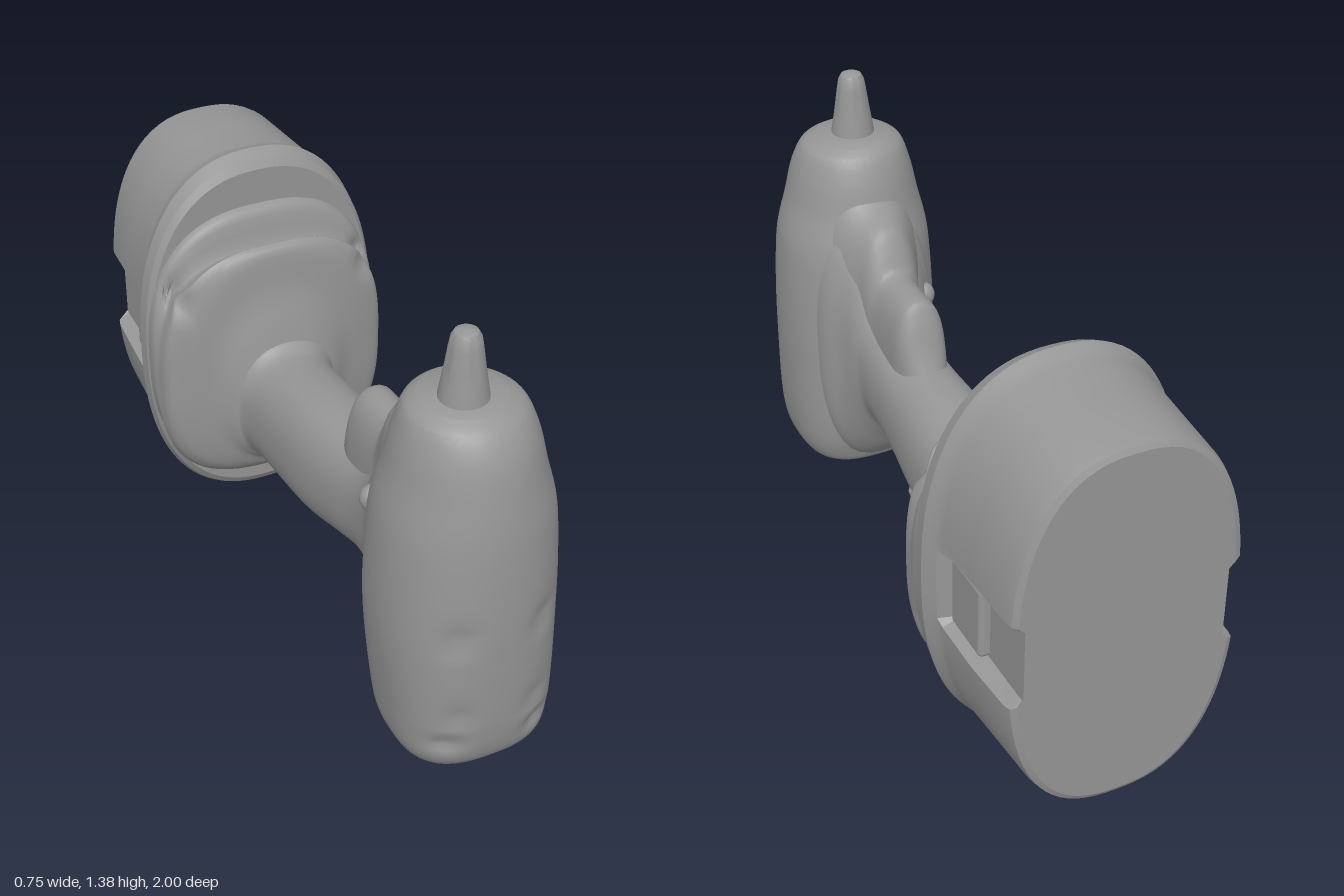
import * as THREE from 'three';
import { toCreasedNormals } from 'three/addons/utils/BufferGeometryUtils.js';
import { RoundedBoxGeometry } from 'three/addons/geometries/RoundedBoxGeometry.js';

const material = new THREE.MeshStandardMaterial({ color: 0x969696 });

function addMesh(group, name, geometry, crease = 0.6) {
  const mesh = new THREE.Mesh(crease ? toCreasedNormals(geometry, crease) : geometry, material);
  mesh.name = name;
  group.add(mesh);
  return mesh;
}

// Smoothly inserts extra sections without overshooting the given ones
function refine(sections, steps) {
  const slope = (a, b, c) => {
    const d0 = b - a, d1 = c - b;
    return d0 * d1 > 0 ? (2 * d0 * d1) / (d0 + d1) : 0;
  };
  const out = [];
  const at = (i) => sections[Math.max(0, Math.min(sections.length - 1, i))];
  for (let i = 0; i < sections.length - 1; i++) {
    for (let s = 0; s < steps; s++) {
      const t = s / steps;
      out.push(at(i).map((p, k) => {
        const q = at(i + 1)[k];
        const m0 = i === 0 ? q - p : slope(at(i - 1)[k], p, q);
        const m1 = i === sections.length - 2 ? q - p : slope(p, q, at(i + 2)[k]);
        const t2 = t * t, t3 = t2 * t;
        return (2 * t3 - 3 * t2 + 1) * p + (t3 - 2 * t2 + t) * m0 + (3 * t2 - 2 * t3) * q + (t3 - t2) * m1;
      }));
    }
  }
  out.push(at(sections.length));
  return out;
}

// Closed loft of rounded sections [t, xMin, xMax, vMin, vMax, squareness];
// the sections are stacked along axis y (v = z) or axis z (v = y)
function loft(sections, axis, rule = (p) => p, segments = 72) {
  const positions = [], indices = [];
  const place = (x, v, t) => rule(axis === 'y' ? new THREE.Vector3(x, t, v) : new THREE.Vector3(x, v, t));
  for (const [t, x0, x1, v0, v1, n] of sections) {
    const a = (x1 - x0) / 2, b = (v1 - v0) / 2;
    for (let j = 0; j < segments; j++) {
      const angle = (j / segments) * Math.PI * 2 * (axis === 'y' ? -1 : 1);
      const c = Math.cos(angle), s = Math.sin(angle);
      const r = Math.pow(Math.pow(Math.abs(c) / a, n) + Math.pow(Math.abs(s) / b, n), -1 / n);
      positions.push(...place((x0 + x1) / 2 + r * c, (v0 + v1) / 2 + r * s, t).toArray());
    }
  }
  const last = (sections.length - 1) * segments;
  const capStart = positions.length / 3;
  for (const [t, x0, x1, v0, v1] of [sections[0], sections[sections.length - 1]]) {
    positions.push(...place((x0 + x1) / 2, (v0 + v1) / 2, t).toArray());
  }
  for (let j = 0; j < segments; j++) {
    const k = (j + 1) % segments;
    for (let i = 0; i < last; i += segments) {
      indices.push(i + j, i + k, i + segments + k, i + j, i + segments + k, i + segments + j);
    }
    indices.push(capStart, k, j, capStart + 1, last + j, last + k);
  }
  const geometry = new THREE.BufferGeometry();
  geometry.setAttribute('position', new THREE.Float32BufferAttribute(positions, 3));
  geometry.setIndex(indices);
  return geometry;
}

export function createModel() {
  const group = new THREE.Group();

  // Upright motor housing with shallow dents on its front
  const dents = [[0.12, 0.61, 0.02], [0.11, 0.34, 0.015], [0.13, 0.24, 0.02]];
  const dentFront = (p) => {
    if (p.z > 0.8) {
      for (const [x, y, depth] of dents) {
        const d = ((Math.abs(p.x + 0.005) - x) / 0.04) ** 2 + ((p.y - y) / 0.025) ** 2;
        p.z -= depth * Math.exp(-d);
      }
    }
    return p;
  };
  const housing = refine([
    [0.1, -0.13, 0.13, 0.63, 0.87, 2.6],
    [0.115, -0.175, 0.175, 0.585, 0.915, 2.7],
    [0.17, -0.205, 0.21, 0.56, 0.965, 2.7],
    [0.3, -0.225, 0.228, 0.53, 0.99, 2.5],
    [0.6, -0.25, 0.235, 0.51, 1, 2.2],
    [0.85, -0.24, 0.225, 0.52, 0.99, 2.1],
    [1, -0.212, 0.19, 0.55, 0.97, 2],
    [1.1, -0.19, 0.165, 0.575, 0.945, 2],
    [1.165, -0.165, 0.135, 0.605, 0.905, 2],
    [1.19, -0.13, 0.09, 0.635, 0.865, 2],
  ], 7);
  addMesh(group, 'motorHousing', loft(housing, 'y', dentFront, 96), 0.8);

  // Tapered nose
  const nose = [[0.066, 1.17], [0.063, 1.2], [0.057, 1.235], [0.05, 1.28], [0.043, 1.33],
    [0.038, 1.358], [0.03, 1.372], [0.015, 1.379], [0, 1.38]].map(([r, y]) => new THREE.Vector2(r, y));
  addMesh(group, 'nose', new THREE.LatheGeometry(nose, 32)).position.set(-0.025, 0, 0.765);

  // Grip, flaring into the housing and the battery mount
  const grip = refine([
    [-0.46, -0.22, 0.22, 0.21, 0.78, 2.3],
    [-0.395, -0.2, 0.2, 0.225, 0.76, 2.3],
    [-0.36, -0.158, 0.16, 0.25, 0.67, 2.3],
    [-0.3, -0.147, 0.15, 0.26, 0.64, 2.3],
    [0, -0.142, 0.142, 0.29, 0.68, 2.3],
    [0.2, -0.125, 0.125, 0.34, 0.69, 2.3],
    [0.32, -0.115, 0.12, 0.363, 0.72, 2.3],
    [0.4, -0.12, 0.12, 0.355, 0.77, 2.3],
    [0.45, -0.13, 0.13, 0.29, 0.86, 2.4],
    [0.5, -0.15, 0.145, 0.205, 0.94, 2.5],
    [0.57, -0.19, 0.18, 0.14, 1, 2.6],
    [0.66, -0.2, 0.19, 0.125, 1.02, 2.6],
  ], 4);
  addMesh(group, 'grip', loft(grip, 'z'), 0.8);

  // Trigger and the stepped neck above it
  const trigger = refine([
    [0.14, -0.04, 0.04, 0.5, 0.66, 2.4],
    [0.175, -0.062, 0.062, 0.48, 0.74, 2.5],
    [0.21, -0.074, 0.074, 0.47, 0.84, 2.5],
    [0.24, -0.08, 0.08, 0.47, 0.88, 2.5],
    [0.39, -0.085, 0.085, 0.47, 0.885, 2.5],
    [0.425, -0.09, 0.09, 0.47, 0.94, 2.5],
    [0.46, -0.1, 0.095, 0.47, 0.995, 2.5],
    [0.54, -0.14, 0.13, 0.47, 1.03, 2.4],
    [0.64, -0.17, 0.16, 0.47, 1.13, 2.3],
  ], 4);
  addMesh(group, 'trigger', loft(trigger, 'z'), 0.8);

  // Stepped mount between grip and battery, with a dimple on each shoulder
  const dimple = (p) => {
    const d = ((Math.abs(p.x) - 0.3) / 0.03) ** 2 + ((p.y - 0.83) / 0.035) ** 2;
    p.z -= 0.03 * Math.exp(-d);
    return p;
  };
  const mount = refine([
    [-0.57, -0.37, 0.365, 0.13, 1.06, 2.6],
    [-0.52, -0.37, 0.363, 0.145, 1.04, 2.6],
    [-0.49, -0.364, 0.358, 0.14, 0.93, 2.8],
    [-0.46, -0.36, 0.355, 0.155, 0.94, 2.8],
    [-0.435, -0.348, 0.343, 0.175, 0.97, 2.7],
    [-0.41, -0.28, 0.275, 0.2, 0.955, 2.4],
    [-0.395, -0.22, 0.22, 0.225, 0.83, 2.3],
    [-0.37, -0.175, 0.175, 0.25, 0.73, 2.3],
    [-0.35, -0.14, 0.14, 0.27, 0.64, 2.3],
  ], 4);
  addMesh(group, 'batteryMount', loft(mount, 'z', dimple, 96), 0.8);

  // Battery pack with a recess pressed into each side
  const recess = (p) => {
    if (p.z < -0.645 && p.y > 0.475 && p.y < 0.715) {
      p.x = Math.sign(p.x) * Math.min(Math.abs(p.x), 0.285);
    }
    return p;
  };
  const battery = [
    [-1, -0.305, 0.305, 0.065, 1.145, 2.5],
    [-0.992, -0.322, 0.322, 0.05, 1.16, 2.5],
    [-0.97, -0.328, 0.328, 0.045, 1.165, 2.5],
    [-0.8, -0.338, 0.338, 0.035, 1.175, 2.5],
    [-0.655, -0.346, 0.346, 0.025, 1.185, 2.5],
    [-0.635, -0.35, 0.35, 0.02, 1.188, 2.5],
    [-0.615, -0.365, 0.362, 0.005, 1.198, 2.4],
    [-0.595, -0.378, 0.374, 0, 1.205, 2.35],
    [-0.555, -0.374, 0.37, 0.025, 1.185, 2.35],
    [-0.54, -0.362, 0.36, 0.05, 1.16, 2.35],
  ];
  addMesh(group, 'battery', loft(battery, 'z', recess, 120), 0.35);

  // Latches in the battery recesses
  for (const side of [-1, 1]) {
    const latch = addMesh(group, 'batteryLatch', new RoundedBoxGeometry(0.07, 0.22, 0.17, 3, 0.015), 0);
    latch.position.set(side * 0.28, 0.59, -0.73);
  }

  // Screw head on the grip
  const screw = addMesh(group, 'gripScrew', new THREE.SphereGeometry(0.022, 16, 12), 0);
  screw.position.set(0.1, 0.36, 0.05);

  // Direction button
  const button = addMesh(group, 'directionButton', new THREE.SphereGeometry(0.03, 20, 14), 0);
  button.scale.set(1.1, 1.3, 1);
  button.position.set(-0.135, 0.73, 0.5);

  return group;
}
